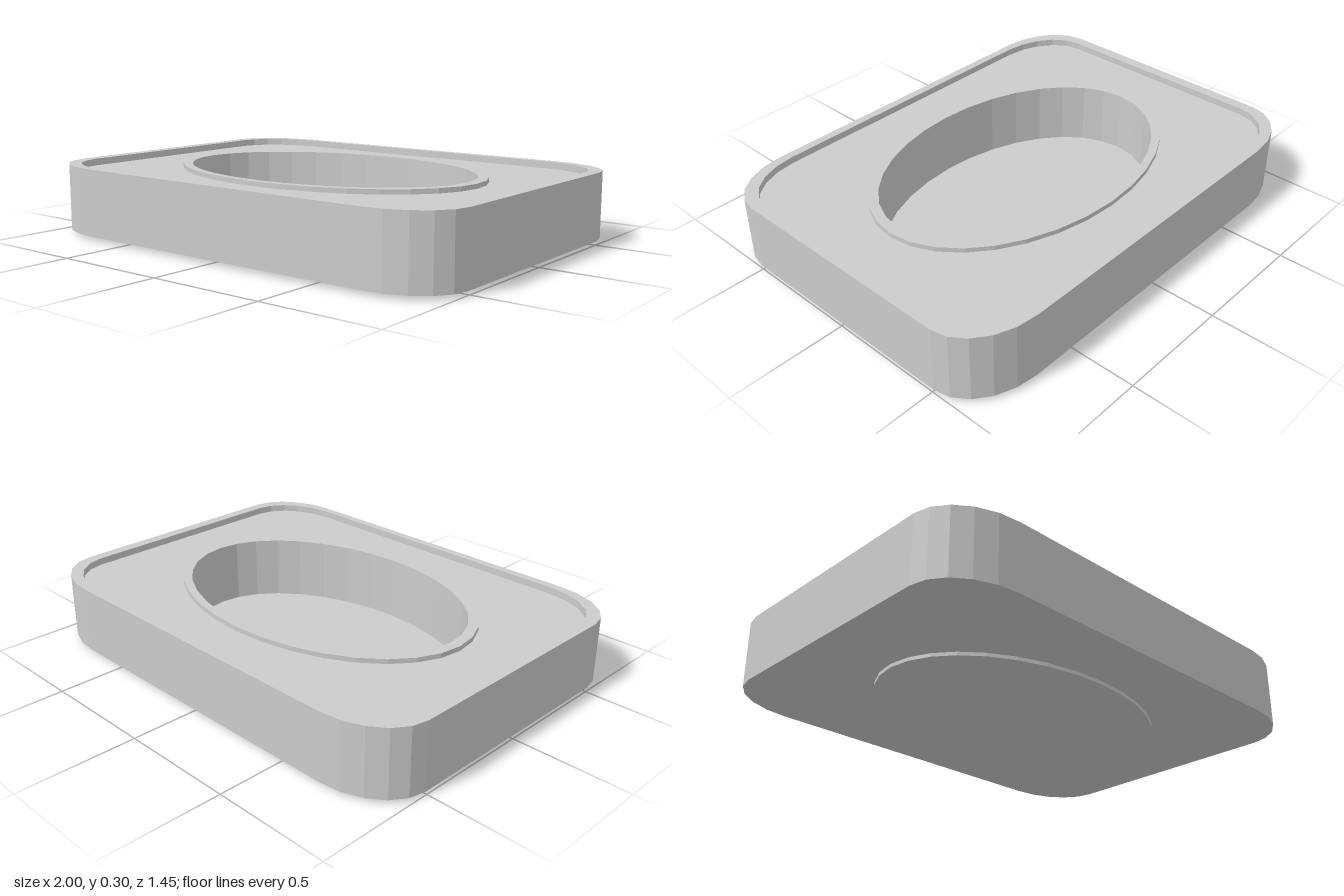
import * as THREE from 'three';

const DEPTH = 0.725; // z to x proportion of the tray

// Rounded rectangle outline with five facets per corner
function trayOutline(halfX, halfZ) {
  const rx = 0.3 * halfX, rz = 0.3 * halfZ, points = [];
  for (let corner = 0; corner < 4; corner++) {
    const sx = corner === 0 || corner === 3 ? 1 : -1;
    const sz = corner < 2 ? 1 : -1;
    for (let i = 0; i <= 5; i++) {
      const a = (corner + i / 5) * Math.PI / 2;
      points.push(new THREE.Vector2(
        sx * (halfX - rx) + rx * Math.cos(a),
        sz * (halfZ - rz) + rz * Math.sin(a)));
    }
  }
  return points;
}

function ovalOutline(rx, rz, sides = 32) {
  return Array.from({ length: sides }, (_, i) => {
    const a = i / sides * Math.PI * 2;
    return new THREE.Vector2(rx * Math.cos(a), rz * Math.sin(a));
  });
}

export function createModel() {
  const group = new THREE.Group();
  const material = new THREE.MeshStandardMaterial({ color: 0xcccccc, flatShading: true });

  // Upright slab between two heights, with an optional hole
  function addSlab(name, bottom, top, outline, hole) {
    const shape = new THREE.Shape(outline);
    if (hole) shape.holes.push(new THREE.Path(hole));
    const geometry = new THREE.ExtrudeGeometry(shape, { depth: top - bottom, bevelEnabled: false });
    geometry.rotateX(-Math.PI / 2).translate(0, bottom, 0);
    const mesh = new THREE.Mesh(geometry, material);
    mesh.name = name;
    group.add(mesh);
  }

  const outer = trayOutline(1, DEPTH);
  const opening = ovalOutline(0.685, 0.457);

  // Body with the oval well cut through it
  addSlab('body', 0.015, 0.27, outer, opening);
  // Raised border around the deck
  addSlab('rim', 0.27, 0.3, outer, trayOutline(0.95, 0.95 * DEPTH));
  // Lip around the well
  addSlab('wellLip', 0.27, 0.29, ovalOutline(0.73, 0.49), opening);
  // Floor of the well, standing proud of the underside
  addSlab('wellFloor', 0, 0.015, opening);

  return group;
}
